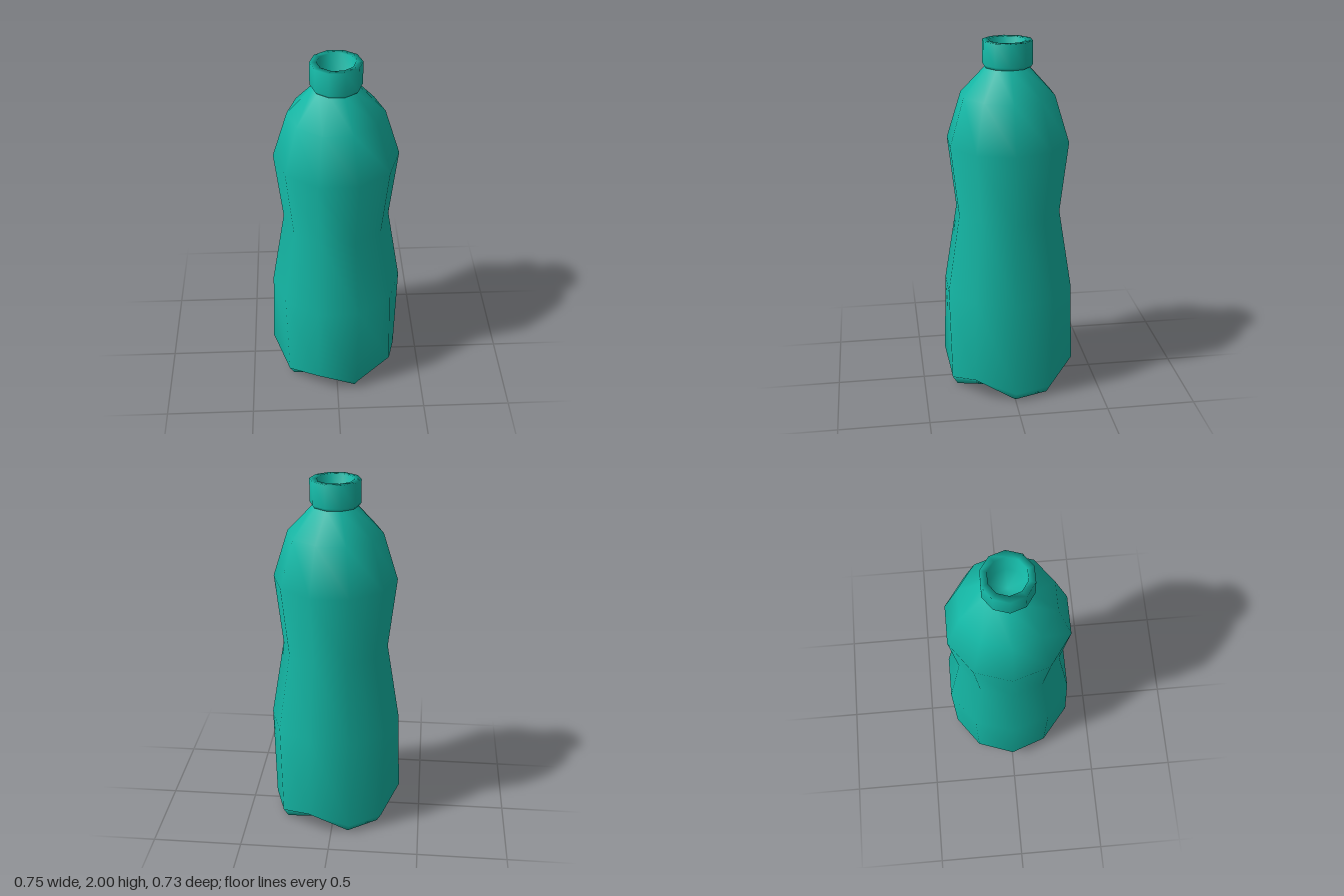
import * as THREE from 'three';
import { mergeVertices } from 'three/addons/utils/BufferGeometryUtils.js';

const SIDES = 10;
const material = new THREE.MeshStandardMaterial({ color: 0x14b8a6 });

// Ten-sided turned part; its first corner points along +x.
function turned(name, profile, reshape) {
  const points = profile.map(([r, y]) => new THREE.Vector2(r, y));
  let geometry = new THREE.LatheGeometry(points, SIDES, Math.PI / 2);
  if (reshape) reshape(geometry.attributes.position, points.length);
  geometry.deleteAttribute('uv');
  geometry.deleteAttribute('normal');
  geometry = mergeVertices(geometry, 1e-4);
  geometry.computeVertexNormals();
  const mesh = new THREE.Mesh(geometry, material);
  mesh.name = name;
  return mesh;
}

// Pull the two lowest rings up into hollows between the feet.
function hollowFeet(position, rows) {
  const hollows = [1, 3, 5, 8];
  for (let i = 0; i <= SIDES; i++) {
    const corner = (SIDES - i) % SIDES;
    if (!hollows.includes(corner)) continue;
    const angle = (corner * 2 * Math.PI) / SIDES;
    [[1, 0.26, 0.045], [2, 0.382, 0.135]].forEach(([row, r, y]) => {
      position.setXYZ(i * rows + row, r * Math.cos(angle), y, r * Math.sin(angle));
    });
  }
}

export function createModel() {
  const group = new THREE.Group();
  group.name = 'bottle';

  // Waisted body with a footed base
  const body = turned('body', [
    [0, 0.04], [0.325, 0], [0.355, 0.05], [0.368, 0.6], [0.295, 1.05],
    [0.341, 1.45], [0.26, 1.71], [0.12, 1.86],
  ], hollowFeet);

  // Collar with an open mouth and recessed floor
  const collar = turned('neckCollar', [
    [0.115, 1.855], [0.128, 1.86], [0.138, 1.875], [0.138, 2],
    [0.101, 2], [0.098, 1.87], [0, 1.86],
  ]);

  group.add(body, collar);
  group.position.x = 0.005;
  return group;
}
